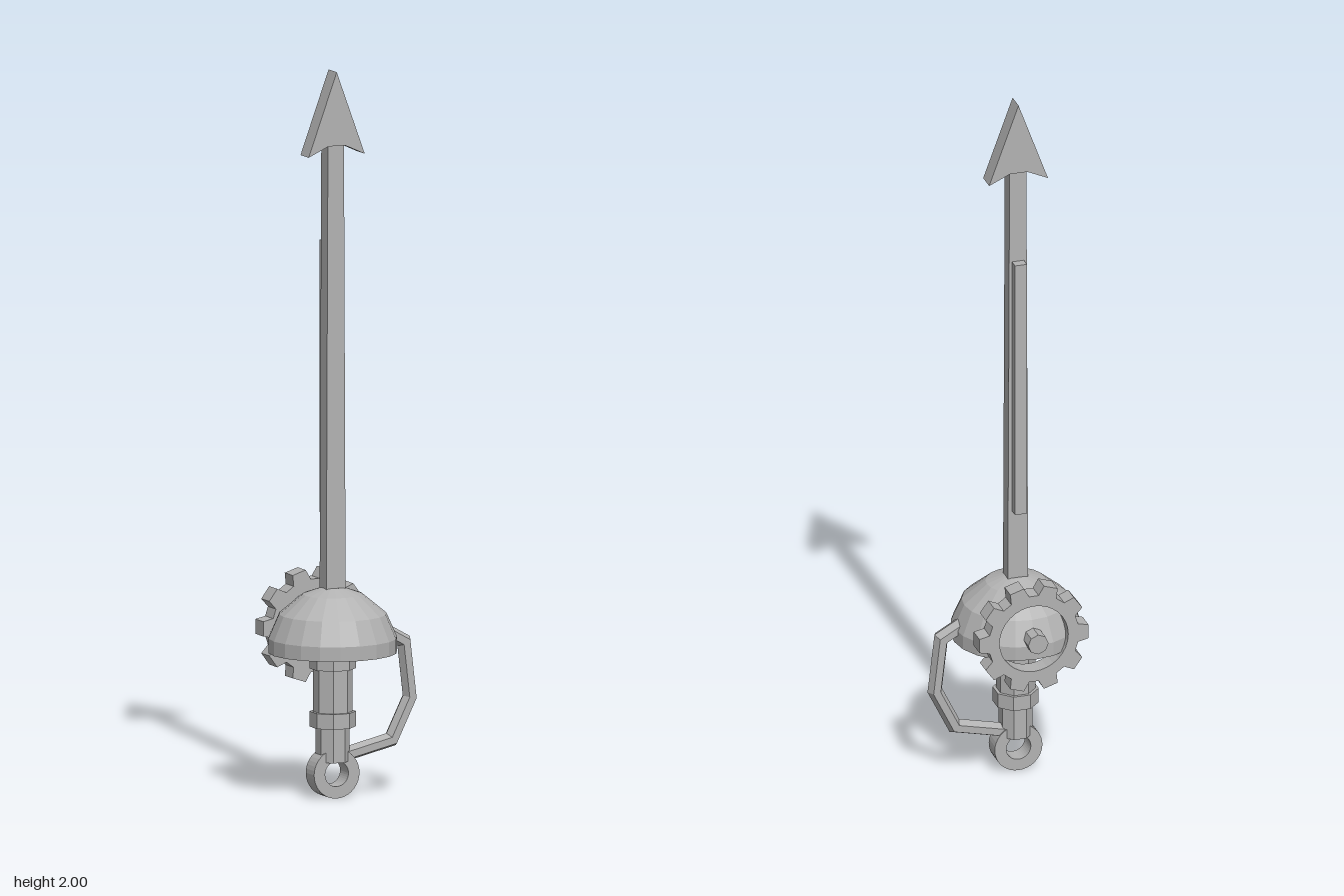
import * as THREE from 'three';

const metal = new THREE.MeshStandardMaterial({ color: 0xb2b2b2, flatShading: true });
metal.name = 'grey metal';

export function createModel() {
  const model = new THREE.Group();
  model.name = 'sword';
  const add = (name, geometry, x = 0, y = 0, z = 0) => {
    const mesh = new THREE.Mesh(geometry, metal);
    mesh.name = name;
    mesh.position.set(x, y, z);
    model.add(mesh);
    return mesh;
  };
  const polygon = (points) => new THREE.Shape(points.map(([x, y]) => new THREE.Vector2(x, y)));
  const plate = (shape, depth, curveSegments = 12) =>
    new THREE.ExtrudeGeometry(shape, { depth, bevelEnabled: false, curveSegments })
      .translate(0, 0, -depth / 2);
  const hole = (radius) => new THREE.Path().absarc(0, 0, radius, 0, Math.PI * 2, true);

  // Slightly tapered square blade, and the strip along its back
  const blade = polygon([[-0.029, 0.56], [0.029, 0.56], [0.024, 1.81], [-0.024, 1.81]]);
  add('blade', plate(blade, 0.043));
  add('backStrip', new THREE.BoxGeometry(0.034, 0.75, 0.029), 0, 1.155, -0.0345);

  // Barbed arrow tip
  const tip = polygon([[0, 2], [-0.084, 1.77], [-0.025, 1.797], [0.025, 1.797], [0.084, 1.77]]);
  add('arrowTip', plate(tip, 0.053));

  // Hollow domed hand guard
  const dome = [
    [0, 0.555], [0.07, 0.538], [0.125, 0.49], [0.15, 0.435], [0.15, 0.4],
    [0.176, 0.4], [0.176, 0.44], [0.147, 0.506], [0.082, 0.56], [0.03, 0.578], [0, 0.578],
  ].map(([x, y]) => new THREE.Vector2(x, y));
  add('domeGuard', new THREE.LatheGeometry(dome, 20));

  // Grip: stacked eight-sided sections, flat face to the front
  const section = (name, radius, bottom, top) =>
    add(name, new THREE.CylinderGeometry(radius, radius, top - bottom, 8).rotateY(Math.PI / 8),
      0, (bottom + top) / 2, 0);
  section('lowerGrip', 0.046, 0.1, 0.2);
  section('lowerCollar', 0.063, 0.195, 0.237);
  section('upperGrip', 0.054, 0.23, 0.36);
  section('upperCollar', 0.063, 0.355, 0.405);
  section('innerGrip', 0.052, 0.4, 0.55);

  // Pommel ring
  const ring = new THREE.Shape().absarc(0, 0, 0.068, 0, Math.PI * 2, false);
  ring.holes.push(hole(0.035));
  add('pommelRing', plate(ring, 0.054, 18), 0, 0.068, 0);

  // Ten-toothed gear ring behind the dome
  const teeth = 10;
  const outline = [];
  for (let i = 0; i < teeth; i++) {
    const a = (i / teeth) * Math.PI * 2;
    for (const [offset, r] of [[-0.21, 0.129], [-0.13, 0.157], [0.13, 0.157], [0.21, 0.129]]) {
      outline.push([r * Math.cos(a + offset), r * Math.sin(a + offset)]);
    }
  }
  const gear = polygon(outline);
  gear.holes.push(hole(0.098));
  add('gear', plate(gear, 0.052, 16), 0, 0.457, -0.138);
  add('gearHub', new THREE.CylinderGeometry(0.029, 0.029, 0.074, 8).rotateX(Math.PI / 2),
    0, 0.457, -0.166);

  // Knuckle bow: six-sided bar swept along a bent path with mitred corners
  const path = [[0.125, 0.466], [0.213, 0.416], [0.231, 0.262], [0.175, 0.148], [0.02, 0.112]]
    .map(([x, y]) => new THREE.Vector2(x, y));
  const profile = [[0.02, 0], [0.01, 0.023], [-0.01, 0.023], [-0.02, 0], [-0.01, -0.023], [0.01, -0.023]];
  const sides = profile.length;
  const vertices = [];
  const indices = [];
  path.forEach((p, i) => {
    const before = p.clone().sub(path[Math.max(i - 1, 0)]).normalize();
    const after = path[Math.min(i + 1, path.length - 1)].clone().sub(p).normalize();
    const along = before.clone().add(after).normalize();
    const stretch = 1 / along.dot(i === 0 ? after : before);
    // outward direction lies to the left of the downward path
    for (const [out, z] of profile) {
      vertices.push(p.x - along.y * out * stretch, p.y + along.x * out * stretch, z);
    }
    if (i === 0) return;
    for (let k = 0; k < sides; k++) {
      const a = (i - 1) * sides + k;
      const b = (i - 1) * sides + ((k + 1) % sides);
      indices.push(a, b, b + sides, a, b + sides, a + sides);
    }
  });
  // end caps
  const last = (path.length - 1) * sides;
  for (let k = 1; k < sides - 1; k++) {
    indices.push(0, k + 1, k, last, last + k, last + k + 1);
  }
  const bow = new THREE.BufferGeometry();
  bow.setAttribute('position', new THREE.Float32BufferAttribute(vertices, 3));
  bow.setIndex(indices);
  bow.computeVertexNormals();
  add('knuckleBow', bow);

  model.position.set(-0.038, 0, 0.012);
  const root = new THREE.Group();
  root.name = 'model';
  root.add(model);
  return root;
}
